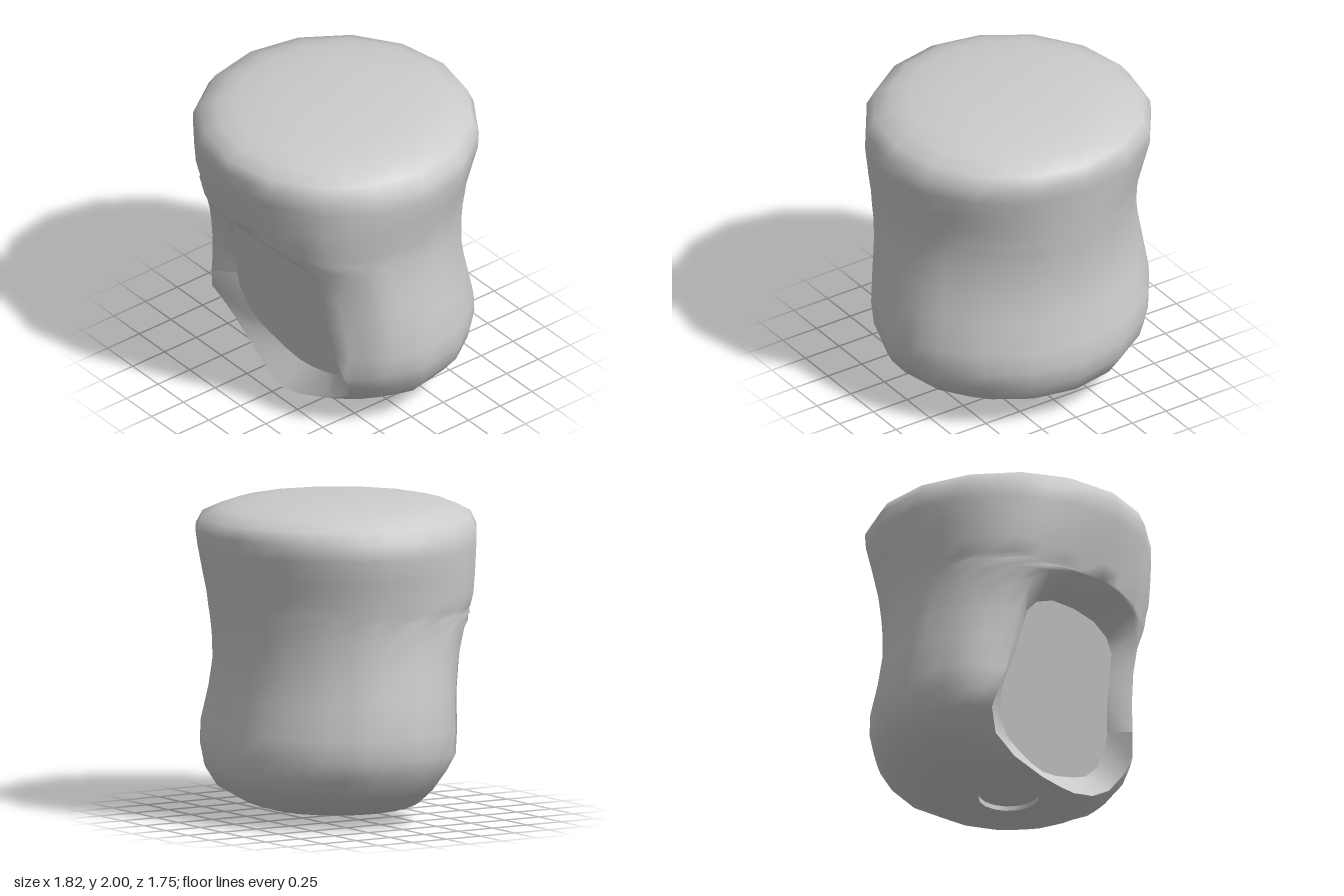
import * as THREE from 'three';
import { mergeVertices } from 'three/addons/utils/BufferGeometryUtils.js';

const COLS = 16; // columns per half, front to back
const SIDE = Math.PI / 8; // the cross-section is a 16-sided polygon

// Skin one or more grids of points as a single smooth mesh;
// the rows of a grid run downwards, its points run rightwards
function skin(name, grids, material) {
  const points = [], index = [];
  for (const rows of grids) {
    const n = rows[0].length, first = points.length;
    points.push(...rows.flat());
    for (let j = 0; j < rows.length - 1; j++) {
      for (let i = 0; i < n - 1; i++) {
        const a = first + j * n + i, b = a + 1, c = a + n, d = c + 1;
        index.push(a, c, b, b, c, d);
      }
    }
  }
  let geometry = new THREE.BufferGeometry().setFromPoints(points);
  geometry.setIndex(index);
  geometry = mergeVertices(geometry, 1e-4);
  geometry.computeVertexNormals();
  const mesh = new THREE.Mesh(geometry, material);
  mesh.name = name;
  return mesh;
}

// Complete a +x half row with its mirror image
function mirrored(half, skipLast) {
  const other = half.slice(0, skipLast ? -1 : undefined).reverse();
  return half.concat(other.map(p => new THREE.Vector3(-p.x, p.y, p.z)));
}

// One ring: polygonal ellipse of the given radii, pulled to the rim point at the front.
// At mid height the front corners are fuller and the back corners slimmer.
function ring([y, rx, back, front, rim]) {
  const { smoothstep } = THREE.MathUtils;
  const middle = smoothstep(y, 0.6, 0.9) * (1 - smoothstep(y, 1.4, 1.72));
  const section = a => {
    const isFront = Math.cos(a) > 0;
    const corner = 1 + (isFront ? 0.07 : -0.03) * middle * Math.sin(2 * a) ** 2;
    const r = corner * Math.cos(SIDE / 2) / Math.cos(a % SIDE - SIDE / 2);
    return new THREE.Vector3(
      rx * r * Math.sin(a), y, (isFront ? front : back) * r * Math.cos(a));
  };
  const start = rim ? Math.atan2(rim.x, rim.z) : 0;
  const pull = rim ? rim.clone().sub(section(start)) : new THREE.Vector3();
  const half = [];
  for (let i = 0; i <= COLS; i++) {
    const t = i / COLS;
    const a = Math.PI * t + start * (1 - t) ** 2;
    const fade = Math.max(0, 1 - (a - start) / 0.6) ** 2;
    half.push(section(a).addScaledVector(pull, fade));
  }
  half[COLS].x = 0;
  return mirrored(half, true);
}

export function createModel() {
  const group = new THREE.Group();
  const material = new THREE.MeshStandardMaterial({ color: 0xcccccc });

  // Outer edge of the face opening, top centre to chin
  const rim = [
    [0, 1.32, 0.745], [0.22, 1.305, 0.72], [0.4, 1.265, 0.67], [0.51, 1.18, 0.59],
    [0.55, 1.0, 0.54], [0.57, 0.8, 0.51], [0.61, 0.58, 0.49], [0.65, 0.43, 0.455],
    [0.64, 0.33, 0.395], [0.55, 0.2, 0.35], [0.38, 0.1, 0.36], [0.15, 0.025, 0.4],
    [0, 0.005, 0.42],
  ].map(p => new THREE.Vector3(...p));

  // Edge of the sunken face panel, lying on a slightly tilted plane
  const panelZ = y => 0.28 + 0.23 * (y - 0.15);
  const inner = [
    [0, 1.19], [0.2, 1.175], [0.34, 1.12], [0.41, 1.04], [0.43, 0.9],
    [0.45, 0.75], [0.5, 0.57], [0.505, 0.48], [0.47, 0.34], [0.38, 0.25],
    [0.28, 0.21], [0.12, 0.165], [0, 0.15],
  ].map(([x, y]) => new THREE.Vector3(x, y, panelZ(y)));

  // Rings: height, side radius, back radius, front radius
  const crown = [
    [2.0, 0, 0, 0], [1.99, 0.42, 0.4, 0.42], [1.96, 0.63, 0.62, 0.64],
    [1.93, 0.73, 0.74, 0.75], [1.88, 0.84, 0.85, 0.84], [1.8, 0.9, 0.88, 0.87],
    [1.7, 0.91, 0.86, 0.86], [1.55, 0.88, 0.84, 0.815], [1.42, 0.855, 0.82, 0.775],
  ];
  const sides = [
    [1.34, 0.845, 0.81, 0.75], [1.3, 0.842, 0.805, 0.75], [1.24, 0.84, 0.795, 0.75],
    [1.14, 0.838, 0.785, 0.75], [0.97, 0.855, 0.775, 0.75], [0.79, 0.885, 0.79, 0.76],
    [0.58, 0.91, 0.825, 0.77], [0.45, 0.9, 0.84, 0.76], [0.33, 0.865, 0.82, 0.72],
    [0.21, 0.765, 0.75, 0.65], [0.1, 0.575, 0.56, 0.52], [0.06, 0.42, 0.42, 0.45],
    [0.055, 0.3, 0.3, 0.38],
  ].map((row, i) => [...row, rim[i]]);
  const neckEdge = [0.055, 0.185, 0.185, 0.185];

  // Shell, flowing softly over the upper rim; the chin rim keeps a crisp edge
  const outerLoop = mirrored(rim, false);
  const innerLoop = mirrored(inner, false);
  const upper = loop => [...loop.slice(-7), ...loop.slice(0, 7)];
  const lower = loop => loop.slice(6, -6);
  const shellRings = [...crown, ...sides, neckEdge].map(ring);
  group.add(skin('headShell', [shellRings, [upper(outerLoop), upper(innerLoop)]], material));
  group.add(skin('chinRim', [[lower(outerLoop), lower(innerLoop)]], material));

  // Flat panel of the face
  const centre = new THREE.Vector3(0, 0.7, panelZ(0.7));
  group.add(skin('facePanel', [[innerLoop, innerLoop.map(() => centre)]], material));

  // Shallow round socket underneath
  const socketTop = [0.085, 0.185, 0.185, 0.185];
  group.add(skin('neckSocketWall', [[neckEdge, socketTop].map(ring)], material));
  group.add(skin('neckSocketCap', [[socketTop, [0.085, 0, 0, 0]].map(ring)], material));

  return group;
}
